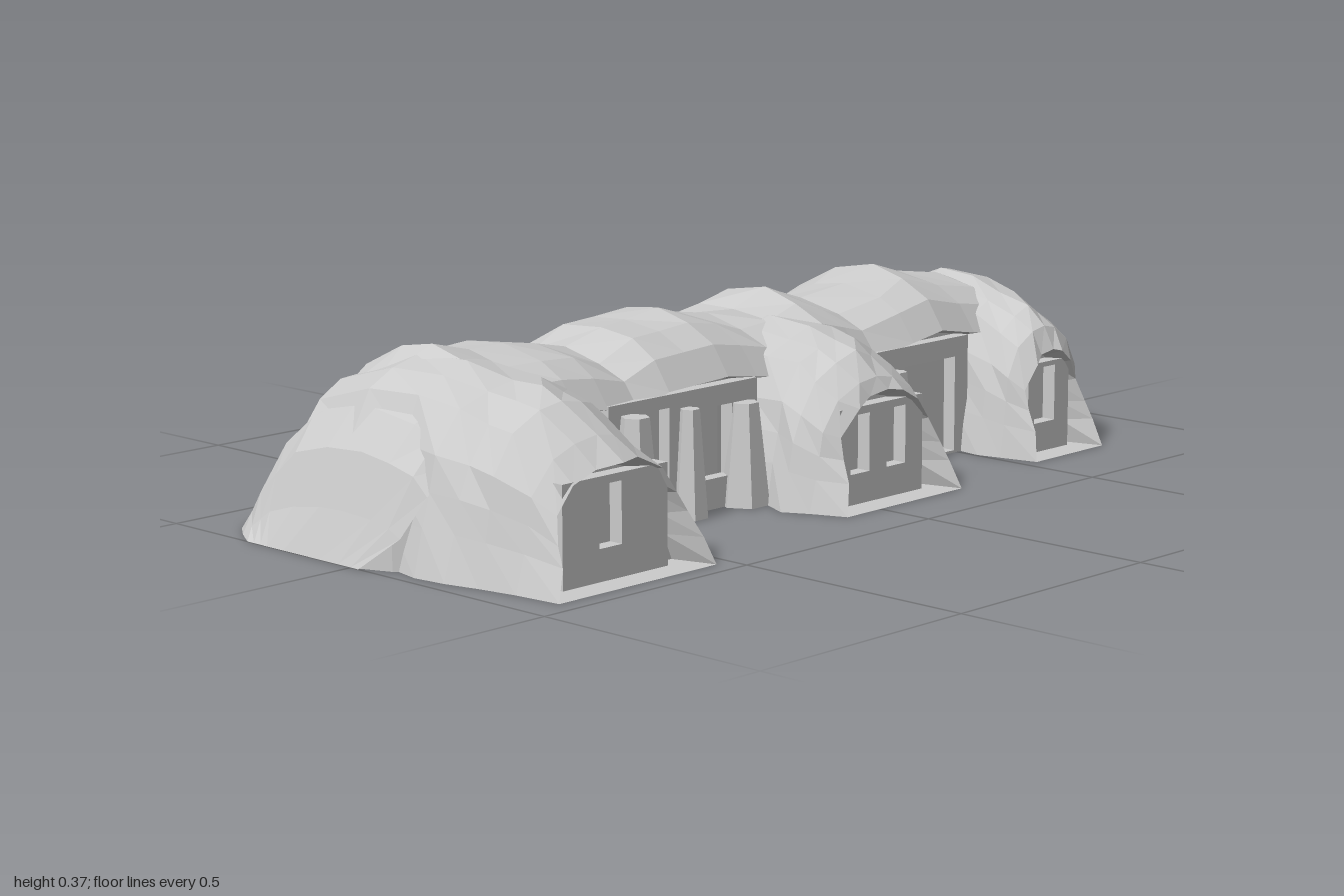
import * as THREE from 'three';

const rock = new THREE.MeshStandardMaterial({ color: 0xcccccc, flatShading: true, side: THREE.DoubleSide });

// repeatable noise in -1..1
const noise = (a, b) => {
  const s = Math.sin(a * 127.1 + b * 311.7) * 43758.5453;
  return (s - Math.floor(s)) * 2 - 1;
};

// closed solid through a row of closed rings of [x, y, z]
function loft(rings, name) {
  const n = rings[0].length, pos = rings.flat(2), idx = [];
  for (let i = 0; i < rings.length - 1; i++)
    for (let j = 0; j < n; j++) {
      const a = i * n + j, c = i * n + (j + 1) % n, b = a + n, d = c + n;
      idx.push(a, b, c, c, b, d);
    }
  [0, rings.length - 1].forEach((r, end) => {
    const ring = rings[r], centre = pos.length / 3;
    for (let k = 0; k < 3; k++) pos.push(ring.reduce((s, p) => s + p[k], 0) / n);
    for (let j = 0; j < n; j++) {
      const a = r * n + j, b = r * n + (j + 1) % n;
      if (end) idx.push(centre, b, a); else idx.push(centre, a, b);
    }
  });
  const g = new THREE.BufferGeometry();
  g.setAttribute('position', new THREE.Float32BufferAttribute(pos, 3));
  g.setIndex(idx);
  const flat = g.toNonIndexed();
  flat.computeVertexNormals();
  const m = new THREE.Mesh(flat, rock);
  m.name = name;
  return m;
}

// long ridge: rows of [z, height, back x, front x]
function ridge() {
  const rows = [
    [-1, 0.0, -0.31, -0.15], [-0.96, 0.03, -0.35, -0.1], [-0.88, 0.08, -0.41, -0.02], [-0.8, 0.21, -0.41, 0.1],
    [-0.73, 0.3, -0.41, 0.14], [-0.65, 0.33, -0.41, 0.15], [-0.55, 0.345, -0.43, 0.15], [-0.45, 0.37, -0.42, 0.15],
    [-0.36, 0.35, -0.41, 0.15], [-0.25, 0.325, -0.44, 0.15], [-0.2, 0.34, -0.46, 0.15], [-0.13, 0.36, -0.43, 0.15],
    [-0.05, 0.335, -0.43, 0.15], [0.03, 0.33, -0.44, 0.15], [0.1, 0.345, -0.46, 0.15], [0.18, 0.36, -0.41, 0.15],
    [0.26, 0.355, -0.41, 0.15], [0.34, 0.35, -0.4, 0.15], [0.42, 0.315, -0.41, 0.15], [0.5, 0.335, -0.4, 0.15],
    [0.58, 0.345, -0.42, 0.15], [0.66, 0.345, -0.42, 0.15], [0.74, 0.36, -0.43, 0.15], [0.82, 0.31, -0.41, 0.15],
    [0.89, 0.27, -0.4, 0.15], [0.94, 0.2, -0.38, 0.14], [0.97, 0.09, -0.34, 0.1], [1, 0, -0.29, 0.02],
  ];
  const profile = [[0, 0], [0.06, 0.22], [0.12, 0.42], [0.18, 0.62], [0.33, 0.84], [0.5, 0.97],
    [0.65, 1], [0.82, 0.95], [0.93, 0.86], [1, 0.7], [0.95, 0.68], [0.95, 0]];
  return loft(rows.map(([z, h, b, f], i) => profile.map(([u, v], j) => {
    const rough = j > 0 && j < 8 && h > 0.1 ? 0.012 : 0;
    return [b + u * (f - b) + noise(i, j) * rough, v * h + noise(j, i + 9) * rough * 0.5, z];
  })), 'mainRidge');
}

// side mound running to +x: rows of [x, low z, high z, height]; the tip flares at its foot
function mound(rows, name) {
  const half = [[0, 0], [0.06, 0.25], [0.09, 0.45], [0.13, 0.65], [0.24, 0.87], [0.38, 0.97]];
  const profile = [...half, [0.5, 1], ...half.map(([u, v]) => [1 - u, v]).reverse()];
  const rings = rows.map(([x, z0, z1, h], i) => profile.map(([u, v], j) => {
    const tip = i === rows.length - 1;
    return [x + (tip ? 0.05 * Math.max(0, 1 - v * 1.6) + noise(i, j) * 0.008 : 0),
      v * h + (v > 0 ? noise(i + 3, j) * 0.006 : 0),
      z1 + u * (z0 - z1) + noise(j, i + 5) * 0.008];
  }));
  // set-back face behind the window wall
  const [x, z0, z1, h] = rows[rows.length - 1];
  rings.push(profile.map(([u, v]) => [x - 0.04, v * h * 0.93, z1 - 0.03 + u * (z0 - z1 + 0.06)]));
  return loft(rings, name);
}

// flat wall facing +x, with openings of [low z, high z, low y, high y]
function wall(x, z0, z1, h, openings, depth, name) {
  const rect = (T, a, b, c, d) => new T([[-b, c], [-a, c], [-a, d], [-b, d]].map(p => new THREE.Vector2(...p)));
  const s = rect(THREE.Shape, z0, z1, 0, h);
  openings.forEach(o => s.holes.push(rect(THREE.Path, ...o)));
  const m = new THREE.Mesh(new THREE.ExtrudeGeometry(s, { depth, bevelEnabled: false }), rock);
  m.rotation.y = Math.PI / 2;
  m.position.x = x - depth;
  m.name = name;
  return m;
}

// tapering rock at the foot of a wall
function buttress(x, z, r, h) {
  const m = new THREE.Mesh(new THREE.CylinderGeometry(r * 0.55, r, h, 6), rock);
  m.position.set(x, h / 2, z);
  m.name = 'buttress';
  return m;
}

export function createModel() {
  const g = new THREE.Group();
  g.name = 'rockDwelling';
  g.add(ridge());

  // three mounds
  g.add(mound([
    [-0.25, 0.58, 0.95, 0.29], [-0.08, 0.54, 0.985, 0.345], [0.03, 0.52, 0.955, 0.34], [0.14, 0.47, 0.98, 0.325],
    [0.21, 0.49, 0.97, 0.315], [0.28, 0.545, 0.955, 0.3], [0.36, 0.545, 0.94, 0.255], [0.41, 0.53, 0.93, 0.215],
  ], 'frontMound'));
  g.add(mound([
    [-0.1, -0.22, 0.1, 0.3], [0.03, -0.25, 0.13, 0.325], [0.13, -0.3, 0.15, 0.31], [0.2, -0.275, 0.13, 0.3],
    [0.26, -0.265, 0.155, 0.28], [0.31, -0.25, 0.13, 0.235], [0.33, -0.25, 0.1, 0.215],
  ], 'middleMound'));
  g.add(mound([
    [-0.25, -0.86, -0.58, 0.27], [-0.08, -0.87, -0.55, 0.33], [0.03, -0.86, -0.52, 0.325], [0.12, -0.835, -0.51, 0.31],
    [0.2, -0.81, -0.5, 0.285], [0.25, -0.785, -0.51, 0.25], [0.28, -0.76, -0.53, 0.21],
  ], 'rearMound'));

  // window walls in the mound ends
  g.add(wall(0.4, 0.6, 0.86, 0.17 + 0.02, [[0.715, 0.77, 0.06, 0.175]], 0.035, 'frontMoundWall'));
  g.add(wall(0.32, -0.19, 0.05, 0.19, [[-0.035, 0.02, 0.06, 0.175], [-0.14, -0.085, 0.06, 0.175]], 0.03, 'middleMoundWall'));
  g.add(wall(0.27, -0.71, -0.58, 0.185, [[-0.665, -0.6, 0.06, 0.175]], 0.03, 'rearMoundWall'));

  // recessed walls between the mounds
  g.add(wall(0.15, 0.1, 0.5, 0.24, [[0.34, 0.43, 0.005, 0.215], [0.17, 0.255, 0.06, 0.2]], 0.03, 'frontBayWall'));
  g.add(wall(0.15, -0.53, -0.22, 0.24, [[-0.49, -0.335, 0.005, 0.2]], 0.03, 'rearBayWall'));

  // rocks beside the doors
  g.add(buttress(0.165, 0.3, 0.035, 0.21), buttress(0.16, 0.145, 0.05, 0.2),
    buttress(0.18, 0.46, 0.05, 0.22), buttress(0.17, -0.285, 0.04, 0.2));
  return g;
}
